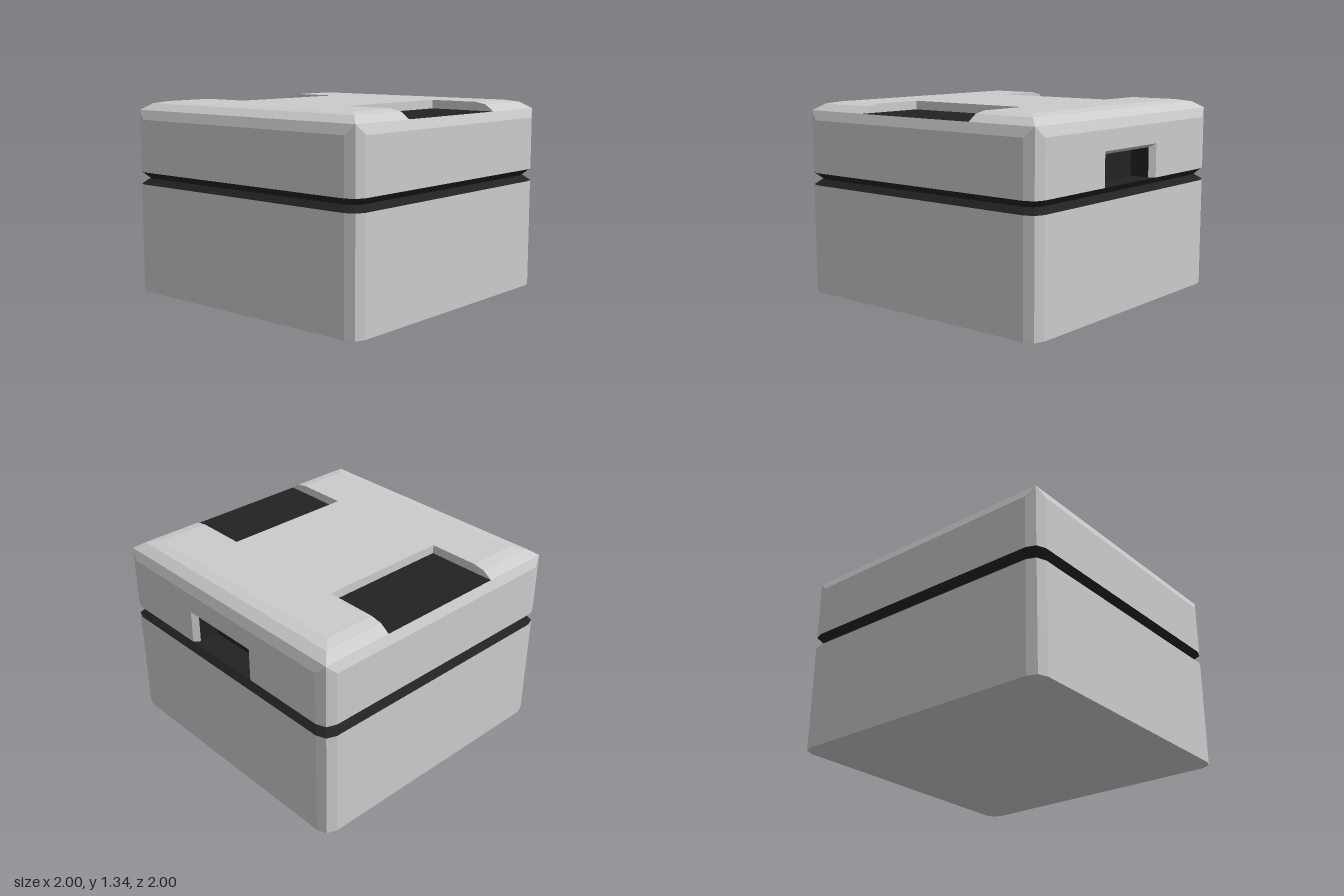
import * as THREE from 'three';

const grey = new THREE.MeshStandardMaterial({ color: 0xcccccc, side: THREE.DoubleSide });
const dark = new THREE.MeshStandardMaterial({ color: 0x222222, side: THREE.DoubleSide });

// Flat-shaded skin between successive rows of [x, y, z] points
function loft(rows, closed, skip = -1) {
  const pos = [];
  const tri = (a, b, c) => {
    const [A, B, C] = [a, b, c].map(p => new THREE.Vector3(...p));
    if (B.sub(A).cross(C.sub(A)).length() > 1e-7) pos.push(...a, ...b, ...c);
  };
  for (let r = 0; r + 1 < rows.length; r++) {
    const n = rows[r].length;
    for (let i = 0; i < (closed ? n : n - 1); i++) {
      if (i === skip) continue;
      const j = (i + 1) % n;
      tri(rows[r][i], rows[r][j], rows[r + 1][j]);
      tri(rows[r][i], rows[r + 1][j], rows[r + 1][i]);
    }
  }
  const g = new THREE.BufferGeometry();
  g.setAttribute('position', new THREE.Float32BufferAttribute(pos, 3));
  g.computeVertexNormals();
  return g;
}

// Square outline whose corners are cut in two facets
function outline(y, scale = 1, corner = [[0.91, 1], [0.975, 0.975], [1, 0.91]]) {
  const pts = [];
  for (let k = 0; k < 4; k++) {
    for (let [x, z] of corner) {
      for (let t = 0; t < k; t++) [x, z] = [z, -x];
      pts.push([x * scale, y, z * scale]);
    }
  }
  return pts;
}

const flat = pts => new THREE.ShapeGeometry(new THREE.Shape(pts.map(p => new THREE.Vector2(p[0], p[1]))));

export function createModel() {
  const model = new THREE.Group();
  const add = (name, geometry, material = grey, parent = model) => {
    const mesh = new THREE.Mesh(geometry, material);
    mesh.name = name;
    parent.add(mesh);
    return mesh;
  };
  const seamLow = 0.76, seamHigh = 0.845, shoulder = 1.21, rim = 1.275, top = 1.335;

  // Base
  add('baseSides', loft([outline(0), outline(seamLow)], true));
  add('baseBottom', flat(outline(0).map(p => [p[0], p[2]])).rotateX(Math.PI / 2));

  // V-shaped seam between base and lid
  add('seamGroove', loft([outline(seamLow), outline(0.8, 0.955), outline(seamHigh)], true), dark);

  // Lid sides, with the back panel left open for the notch
  add('lidSides', loft([outline(seamHigh), outline(shoulder)], true, 5));
  const square = Array(3).fill([0.975, 0.975]);
  add('lidLowerBevel', loft([outline(shoulder), outline(rim, 1, square)], true));

  // Back panel and its notch
  const arch = (w, h, z) => [[w, seamHigh, z], [w, h, z], [-w, h, z], [-w, seamHigh, z]];
  add('lidBackPanel', flat([
    [-0.91, seamHigh], [-0.91, shoulder], [0.91, shoulder], [0.91, seamHigh],
    ...arch(0.3, 1.075, 0),
  ]).rotateY(Math.PI).translate(0, 0, -1));
  const inner = arch(0.27, 1.05, -0.96), deep = arch(0.27, 1.05, -0.82);
  add('notchFrame', loft([arch(0.3, 1.075, -1), inner], false));
  add('notchWalls', loft([inner, deep], false), dark);
  add('notchBack', flat(deep).rotateY(Math.PI).translate(0, 0, -0.82), dark);
  add('notchFloor', new THREE.PlaneGeometry(0.6, 0.18).rotateX(-Math.PI / 2)
    .translate(0, seamHigh, -0.91), dark);

  // Lid top: bevelled ends in front of and behind the recesses
  const half = [[-0.975, rim], [-0.91, 1.32], [-0.83, top]];
  const profile = [...half, ...half.map(([x, y]) => [-x, y]).reverse()];
  const section = (z, inset, maxY) => profile.map(([x, y]) =>
    [Math.sign(x) * Math.max(Math.abs(x), inset), Math.min(y, maxY), z]);
  const ends = loft([section(0.975, 0.975, rim), section(0.91, 0.91, 1.32),
    section(0.83, 0, top), section(0.47, 0, top)], false);
  const endWall = flat(profile).rotateY(Math.PI).translate(0, 0, 0.47);
  for (const [name, turn] of [['lidTopFront', 0], ['lidTopBack', Math.PI]]) {
    const end = new THREE.Group();
    end.name = name;
    end.rotation.y = turn;
    add('bevelledTop', ends, grey, end);
    add('recessWall', endWall, grey, end);
    model.add(end);
  }

  // Bridge between the recesses, and the dark recess floors
  add('lidTopBridge', new THREE.BoxGeometry(0.94, top - rim, 0.94)
    .translate(0, (top + rim) / 2, 0));
  for (const s of [1, -1]) {
    add(s > 0 ? 'leftRecessFloor' : 'rightRecessFloor',
      new THREE.PlaneGeometry(0.505, 0.94).rotateX(-Math.PI / 2)
        .translate(s * 0.7225, rim, 0), dark);
  }
  return model;
}
